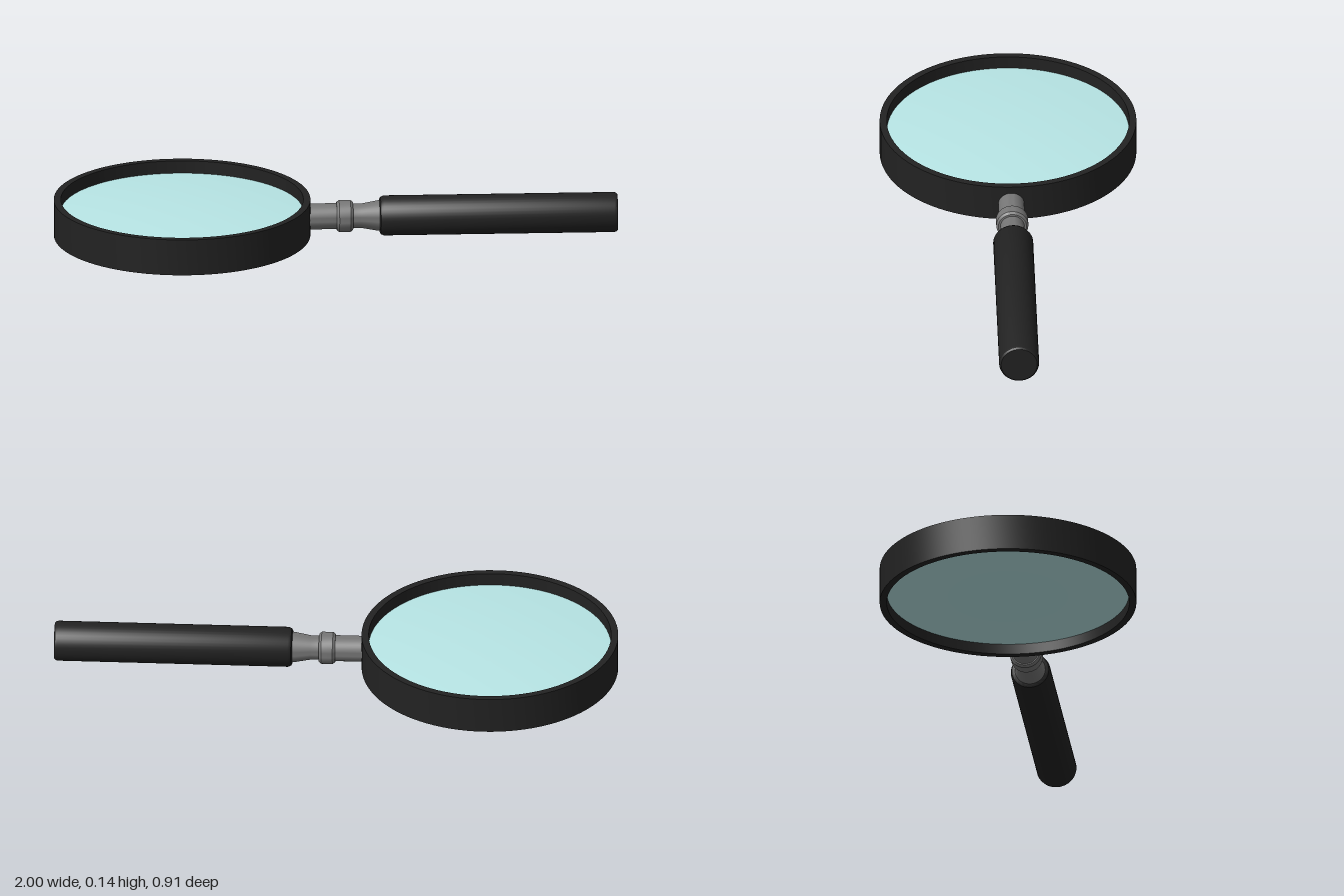
import * as THREE from 'three';
import { toCreasedNormals } from 'three/addons/utils/BufferGeometryUtils.js';

const AXIS_Y = 0.071;
const LENS_X = -0.545;

// Revolves [radius, height] pairs around y, keeping sharp edges crisp
function lathe(name, points, segments, color) {
  const profile = points.map(([r, h]) => new THREE.Vector2(r, h));
  const geometry = toCreasedNormals(new THREE.LatheGeometry(profile, segments), 0.5);
  const mesh = new THREE.Mesh(geometry, new THREE.MeshStandardMaterial({ color }));
  mesh.name = name;
  return mesh;
}

// Turned part lying along x; heights in the profile become x positions
function turned(name, points, color) {
  const mesh = lathe(name, points, 40, color);
  mesh.rotation.z = -Math.PI / 2;
  mesh.position.y = AXIS_Y;
  return mesh;
}

export function createModel() {
  const model = new THREE.Group();
  model.name = 'magnifyingGlass';
  const black = 0x222222;
  const metal = 0x777777;

  // Frame: a tall thin ring
  const frame = lathe('frame', [
    [0.43, 0.01], [0.455, 0.01], [0.455, 0.142], [0.43, 0.142], [0.43, 0.01],
  ], 96, black);
  frame.position.x = LENS_X;

  // Lens: gently convex on both sides, recessed in the frame
  const lensProfile = [];
  const steps = 10;
  for (let i = 0; i <= steps; i++) {
    const t = i / steps;
    lensProfile.push([0.432 * t, 0.048 - 0.018 * (1 - t * t)]);
  }
  for (let i = steps; i >= 0; i--) {
    const t = i / steps;
    lensProfile.push([0.432 * t, 0.096 + 0.018 * (1 - t * t)]);
  }
  const lens = lathe('lens', lensProfile, 96, 0xb8e6e6);
  lens.position.x = LENS_X;

  // Metal neck, bevelled collar and flared ferrule
  const neck = turned('neck', [
    [0, -0.1], [0.046, -0.1], [0.046, 0.01], [0, 0.01],
  ], metal);
  const collar = turned('collar', [
    [0, 0.003], [0.05, 0.003], [0.057, 0.012], [0.057, 0.052], [0.05, 0.061], [0, 0.061],
  ], metal);
  const ferrule = turned('ferrule', [
    [0, 0.055], [0.043, 0.055], [0.043, 0.09], [0.054, 0.15], [0.054, 0.165], [0, 0.165],
  ], metal);

  // Grip with chamfered ends
  const handle = turned('handle', [
    [0, 0.155], [0.058, 0.155], [0.066, 0.159], [0.071, 0.17],
    [0.071, 0.987], [0.069, 0.995], [0.064, 1], [0, 1],
  ], black);

  model.add(frame, lens, neck, collar, ferrule, handle);
  return model;
}
